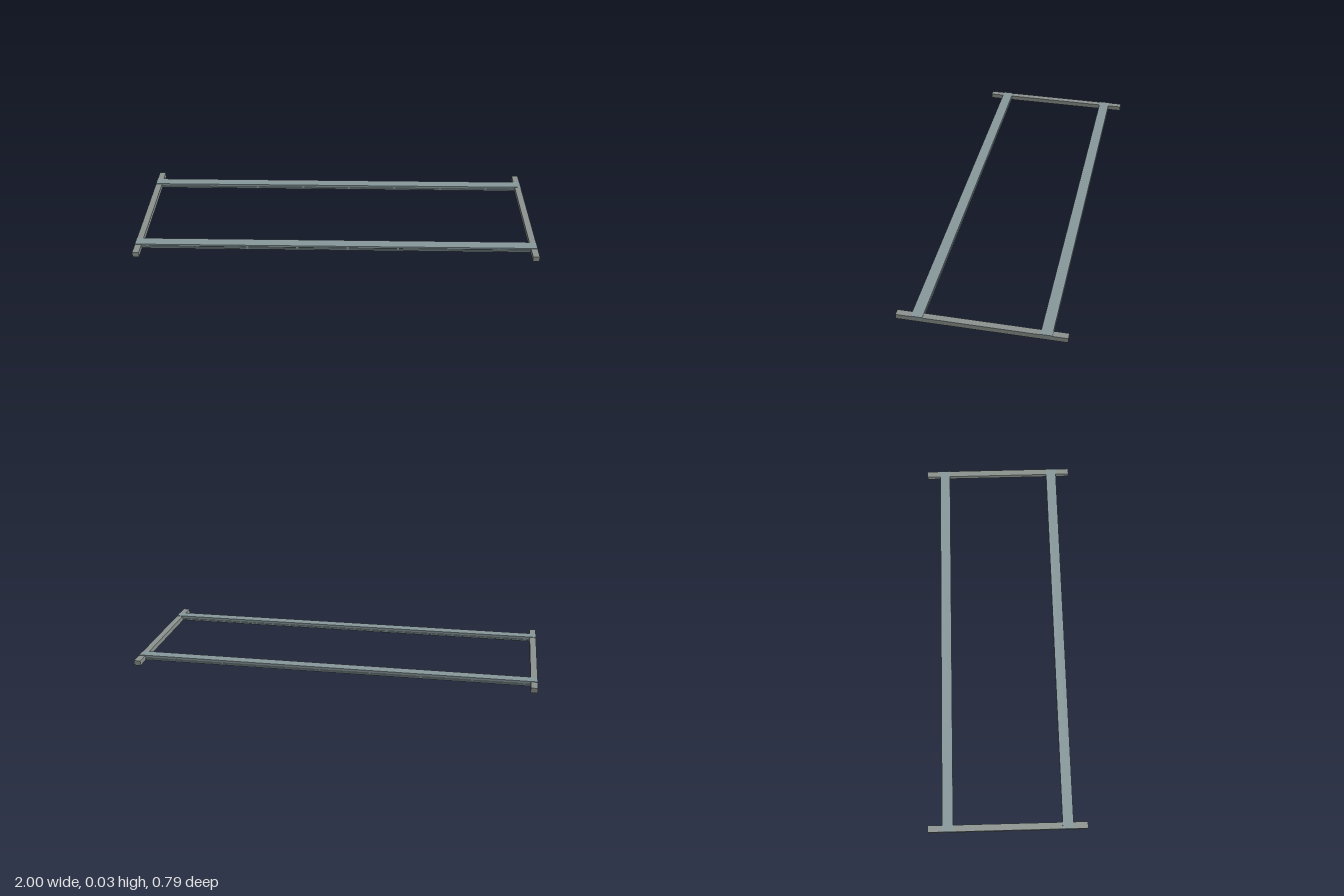
import * as THREE from 'three';

const railMaterial = new THREE.MeshStandardMaterial({ color: 0x87989b });
const barMaterial = new THREE.MeshStandardMaterial({ color: 0x8b938f });

// Slotted extrusion profile: top plate, side grooves and an open slot underneath
function railProfile() {
  const half = [
    [0.027, 0.0275], [0.027, 0.017], [0.021, 0.017], [0.021, 0.011],
    [0.027, 0.011], [0.027, 0.003], [0.008, 0.003], [0.008, 0.008],
    [0.014, 0.008], [0.014, 0.02],
  ];
  const mirrored = half.map(([x, y]) => [-x, y]).reverse();
  return new THREE.Shape([...half, ...mirrored].map(([x, y]) => new THREE.Vector2(x, y)));
}

function createRail() {
  const rail = new THREE.Group();
  const geometry = new THREE.ExtrudeGeometry(railProfile(), { depth: 2, bevelEnabled: false });
  geometry.translate(0, 0, -1).rotateY(Math.PI / 2);
  const body = new THREE.Mesh(geometry, railMaterial);
  body.name = 'railBody';
  rail.add(body);

  // Small fasteners spaced along both side grooves
  const studGeometry = new THREE.BoxGeometry(0.012, 0.006, 0.005);
  for (let i = 0; i < 8; i++) {
    for (const side of [-1, 1]) {
      const stud = new THREE.Mesh(studGeometry, railMaterial);
      stud.name = 'railFastener';
      stud.position.set(-0.94 + i * 0.25, 0.014, side * 0.0225);
      rail.add(stud);
    }
  }
  return rail;
}

export function createModel() {
  const model = new THREE.Group();
  model.name = 'frame';

  // Long front and back rails
  for (const [name, z] of [['frontRail', 0.295], ['backRail', -0.295]]) {
    const rail = createRail();
    rail.name = name;
    rail.position.z = z;
    model.add(rail);
  }

  // Cross bars at both ends, reaching past the rails
  const barGeometry = new THREE.BoxGeometry(0.033, 0.025, 0.786);
  for (const [name, side] of [['leftCrossBar', 1], ['rightCrossBar', -1]]) {
    const bar = new THREE.Mesh(barGeometry, barMaterial);
    bar.name = name;
    bar.position.set(side * 0.9835, 0.0125, 0);
    model.add(bar);
  }
  return model;
}
